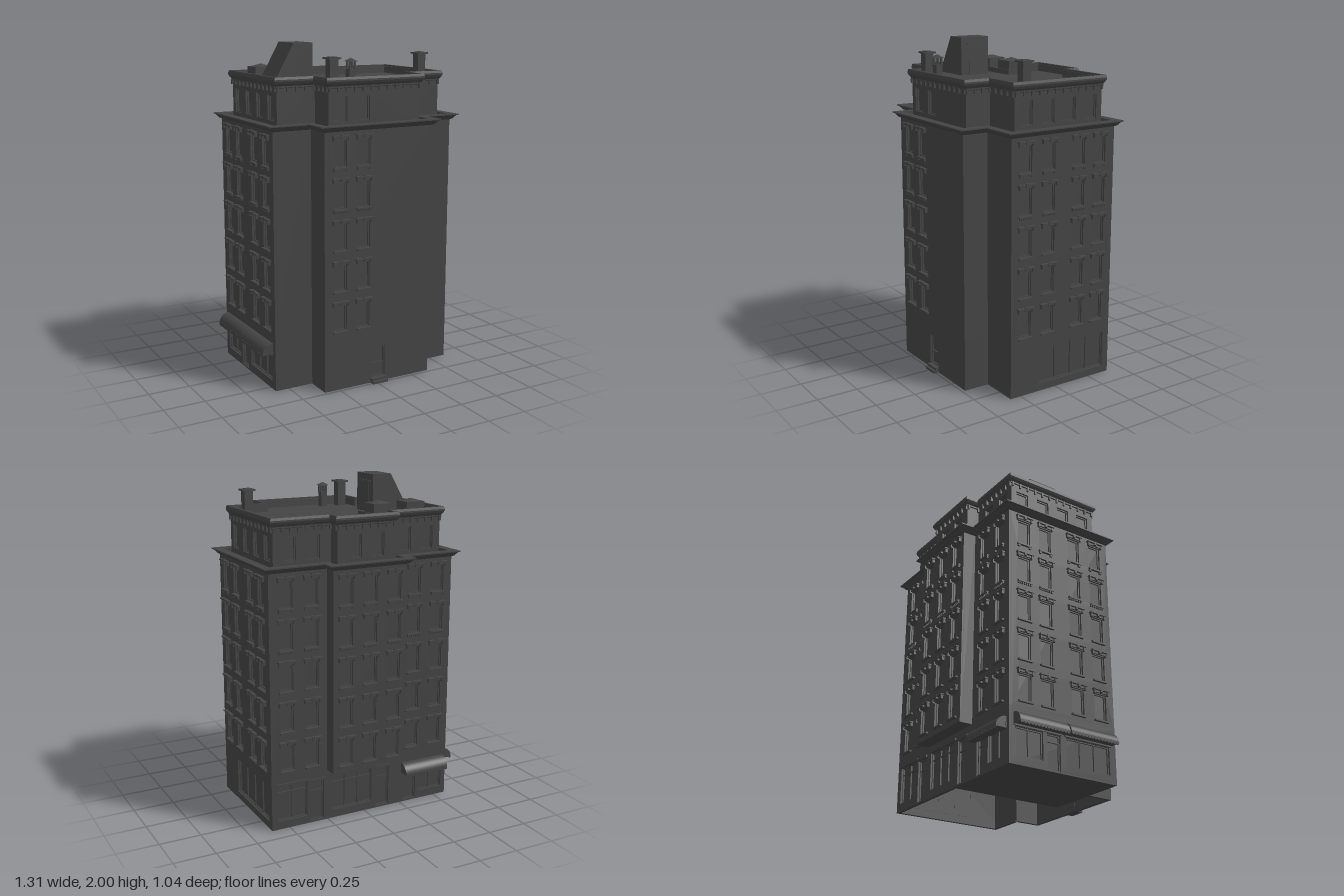
import * as THREE from 'three';
import { mergeGeometries } from 'three/addons/utils/BufferGeometryUtils.js';

const material = new THREE.MeshStandardMaterial({ color: 0x444444, side: THREE.DoubleSide });
const BACK = -0.48, FLAT = -0.399; // rear bay depth, and its depth on the ground floor
const FLOORS = 5, PITCH = 0.241;

// Cross-shaped floor plan as [x, z], grown outwards by o
function plan(o, back = BACK) {
  const f = 0.48 + o, m = 0.32 + o, k = FLAT - o, b = back - o;
  return [[-0.345 - o, f], [0.373 + o, f], [0.373 + o, m], [0.613 + o, m], [0.613 + o, k], [0.253 + o, k],
    [0.253 + o, b], [-0.225 - o, b], [-0.225 - o, k], [-0.585 - o, k], [-0.585 - o, m], [-0.345 - o, m]];
}

// Sweep a profile of [offset, y] round the plan
function sweep(profile, back) {
  const pos = [];
  for (let j = 0; j + 1 < profile.length; j++) {
    const [[o0, y0], [o1, y1]] = [profile[j], profile[j + 1]];
    const lo = plan(o0, back), hi = plan(o1, back);
    lo.forEach((a, i) => {
      const n = (i + 1) % lo.length, b = lo[n], c = hi[n], d = hi[i];
      const A = [a[0], y0, a[1]], B = [b[0], y0, b[1]], C = [c[0], y1, c[1]], D = [d[0], y1, d[1]];
      pos.push(...A, ...B, ...C, ...A, ...C, ...D);
    });
  }
  const g = new THREE.BufferGeometry();
  g.setAttribute('position', new THREE.Float32BufferAttribute(pos, 3));
  g.computeVertexNormals();
  return g;
}

// Upward-facing slab filling the plan
function deck(o, y) {
  const s = new THREE.Shape(plan(o).map(([x, z]) => new THREE.Vector2(x, -z)));
  return new THREE.ShapeGeometry(s).rotateX(-Math.PI / 2).translate(0, y, 0);
}

export function createModel() {
  const parts = {};
  const I = new THREE.Matrix4();
  function add(name, geo, matrix = I) {
    const g = geo.index ? geo.toNonIndexed() : geo;
    g.deleteAttribute('uv');
    (parts[name] ??= []).push(g.applyMatrix4(matrix));
  }
  const box = (name, M, x, y, z, w, h, d) => add(name, new THREE.BoxGeometry(w, h, d).translate(x, y, z), M);

  // Local frame of one wall: x along it, z outwards; at() turns a world coordinate into local x
  function face(i, o, back) {
    const P = plan(o, back), p = P[i], q = P[(i + 1) % P.length];
    const dx = q[0] - p[0], dz = q[1] - p[1];
    const M = new THREE.Matrix4().makeRotationY(Math.atan2(-dz, dx)).setPosition(p[0], 0, p[1]);
    const at = w => Math.abs(dx) > Math.abs(dz) ? (w - p[0]) * Math.sign(dx) : (w - p[1]) * Math.sign(dz);
    return { M, at, length: Math.hypot(dx, dz) };
  }

  // Wall panel with openings [centre, bottom, width, height]
  function wall(name, F, y0, y1, holes) {
    if (F.length < 0.001) return;
    const rect = (C, x, y, w, h) => new C([[x, y], [x + w, y], [x + w, y + h], [x, y + h]].map(p => new THREE.Vector2(...p)));
    const s = rect(THREE.Shape, 0, y0, F.length, y1 - y0);
    for (const [c, b, w, h] of holes) s.holes.push(rect(THREE.Path, c - w / 2, b, w, h));
    add(name, new THREE.ExtrudeGeometry(s, { depth: 0.02, bevelEnabled: false }).translate(0, 0, -0.02), F.M);
  }

  // Frame bars inside an opening, split into columns and at the given rail heights
  function frame(name, M, [c, b, w, h], cols, rails) {
    const z = -0.016, t = 0.006;
    for (let i = 0; i <= cols; i++) box(name, M, c + (i / cols - 0.5) * (w - t), b + h / 2, z, t, h, 0.01);
    for (const r of [0, ...rails, 1]) box(name, M, c, b + t / 2 + r * (h - t), z, w, t, 0.01);
  }

  // Upper floors: window columns per wall
  const columns = { 0: [-0.243, -0.09], 3: [0.225, 0.065, -0.145, -0.295], 4: [0.51, 0.35],
    6: [0.17, 0.0125, -0.145], 8: [-0.33, -0.49], 9: [0.225, 0.065, -0.145, -0.295] };
  for (let i = 0; i < 12; i++) {
    const F = face(i, 0), holes = [];
    for (const w of columns[i] ?? []) for (let n = 0; n < FLOORS; n++) {
      const x = F.at(w), y = 0.36 + n * PITCH, hole = [x, y, 0.085, 0.157], top = y + 0.157;
      holes.push(hole);
      frame('windowFrame', F.M, hole, 1, []);
      box('windowSill', F.M, x, y - 0.006, 0.006, 0.095, 0.01, 0.018);
      box('windowLintel', F.M, x, top + 0.012, 0.004, 0.09, 0.014, 0.01);
      box('windowLintel', F.M, x, top + 0.021, 0.01, 0.112, 0.008, 0.024);
      box('windowLintel', F.M, x, top + 0.018, 0.012, 0.014, 0.024, 0.018);
      for (const s of [-1, 1]) box('windowBracket', F.M, x + s * 0.047, top + 0.006, 0.008, 0.008, 0.022, 0.016);
      if (n === 3) for (let k = -3; k <= 3; k++) box('sillDentil', F.M, x + k * 0.014, y - 0.016, 0.005, 0.007, 0.01, 0.01);
      else if (n === 4) for (const s of [-1, 1]) box('sillDentil', F.M, x + s * 0.038, y - 0.017, 0.005, 0.014, 0.012, 0.012);
    }
    wall('upperWall', F, 0.32, 1.54, holes);
  }
  add('windowPane', sweep([[-0.02, 0.32], [-0.02, 1.54]]));

  // Ground floor openings: [centre, bottom, width, height, columns, rails]
  const shops = {
    0: [[0.015, 0.03, 0.095, 0.19, 1, [0.45]]],
    3: [[-0.118, 0.045, 0.475, 0.22, 4, []]],
    4: [[0.48, 0.05, 0.19, 0.22, 2, [0.8]], [0.32, 0.01, 0.09, 0.25, 1, [0.75]]],
    6: [[0.085, 0.05, 0.27, 0.22, 3, [0.8]], [-0.125, 0.01, 0.09, 0.25, 1, [0.75]]],
    8: [[-0.32, 0.01, 0.09, 0.2, 1, [0.8]], [-0.47, 0.05, 0.17, 0.16, 2, []]],
    9: [[-0.27, 0.05, 0.18, 0.16, 2, []], [-0.11, 0.01, 0.09, 0.2, 1, [0.8]], [0.125, 0.05, 0.3, 0.16, 3, []]],
  };
  for (let i = 0; i < 12; i++) {
    const F = face(i, 0, FLAT);
    const holes = (shops[i] ?? []).map(([w, ...rest]) => [F.at(w), ...rest]);
    wall('groundWall', F, 0, 0.32, holes);
    for (const h of holes) {
      frame('shopFrame', F.M, h, h[4], h[5]);
      if (i > 3) box('shopHeader', F.M, h[0], h[1] + h[3] + 0.008, 0.002, h[2] + 0.02, 0.014, 0.012);
    }
    if (i === 0) for (const [h, d] of [[0.015, 0.035], [0.03, 0.02]]) box('doorStep', F.M, F.at(0.015), h / 2, d / 2, 0.1, h, d);
  }
  add('shopPane', sweep([[-0.02, 0], [-0.02, 0.32]], FLAT));
  // Shop floor under one half; the other half is open below
  box('shopFloor', I, -0.3125, 0.004, -0.04, 0.545, 0.008, 0.718);
  box('shopCornice', I, 0.014, 0.322, -0.44, 0.478, 0.012, 0.084);

  // Rounded shop awnings with a scalloped hem: wall, ends, top height, reach
  for (const [i, a, b, top, reach] of [[8, -0.56, -0.26, 0.262, 0.066], [9, -0.37, -0.045, 0.285, 0.064], [9, -0.04, 0.29, 0.285, 0.07]]) {
    const F = face(i, 0, FLAT), u = Math.min(F.at(a), F.at(b)), len = Math.abs(b - a), s = new THREE.Shape();
    s.moveTo(0, top - 0.065);
    s.lineTo(0, top);
    s.absellipse(0, top - 0.065, reach, 0.065, Math.PI / 2, 0, true);
    // shape x points out of the wall, extrusion runs along it
    add('awning', new THREE.ExtrudeGeometry(s, { depth: len, bevelEnabled: false, curveSegments: 8 })
      .rotateY(-Math.PI / 2).translate(u + len, 0, 0), F.M);
    const n = Math.round(len / 0.022);
    for (let k = 0; k < n; k++) {
      add('awningHem', new THREE.CylinderGeometry(len / n / 2, len / n / 2, 0.005, 8)
        .rotateX(Math.PI / 2).translate(u + (k + 0.5) * len / n, top - 0.066, reach - 0.0025), F.M);
    }
  }

  // Main cornice with its gutter and terrace
  add('mainCornice', sweep([[0, 1.526], [0.012, 1.532], [0.02, 1.542], [0.028, 1.552], [0.038, 1.555], [0.038, 1.562],
    [-0.015, 1.562], [-0.015, 1.53], [-0.08, 1.53]]));

  // Set-back top storey
  const topColumns = { 0: [-0.21, -0.063], 3: [0.185, 0.035, -0.115, -0.265], 4: [0.46, 0.31],
    6: [0.085, -0.06], 8: [-0.29, -0.44], 9: [0.185, 0.035, -0.115, -0.265] };
  for (let i = 0; i < 12; i++) {
    const F = face(i, -0.055);
    const holes = (topColumns[i] ?? []).map(w => [F.at(w), 1.575, 0.085, 0.14]);
    wall('topStoreyWall', F, 1.53, 1.77, holes);
    for (const h of holes) frame('topWindowFrame', F.M, h, 1, []);
    const n = Math.max(1, Math.round(F.length / 0.055));
    for (let k = 0; k <= n; k++) box('eavesBracket', F.M, 0.006 + k * (F.length - 0.012) / n, 1.755, 0.006, 0.01, 0.03, 0.012);
  }
  add('topStoreyPane', sweep([[-0.075, 1.53], [-0.075, 1.77]]));
  add('parapet', sweep([[-0.055, 1.76], [-0.049, 1.763], [-0.049, 1.772], [-0.04, 1.785], [-0.034, 1.798],
    [-0.034, 1.808], [-0.038, 1.822], [-0.055, 1.822], [-0.055, 1.812], [-0.06, 1.812], [-0.06, 1.77]]));
  add('roof', deck(-0.055, 1.77));

  // Stair bulkhead with a sloping back and a door
  const side = new THREE.Shape([[-0.478, 1.77], [-0.225, 1.77], [-0.225, 2], [-0.348, 2]].map(p => new THREE.Vector2(...p)));
  add('stairBulkhead', new THREE.ExtrudeGeometry(side, { depth: 0.195, bevelEnabled: false }).translate(0, 0, -0.077));
  box('bulkheadDoor', I, -0.224, 1.86, 0.015, 0.006, 0.18, 0.09);
  box('bulkheadHood', I, -0.22, 1.957, 0.015, 0.012, 0.008, 0.13);

  // Cooling units on a curbed platform
  box('coolerPlatform', I, -0.29, 1.78, -0.22, 0.39, 0.02, 0.15);
  for (const s of [-1, 1]) {
    box('platformCurb', I, -0.29, 1.785, -0.22 + s * 0.077, 0.4, 0.03, 0.008);
    box('platformCurb', I, -0.29 + s * 0.196, 1.785, -0.22, 0.008, 0.03, 0.16);
  }
  for (const x of [-0.4, -0.178]) {
    box('coolerUnit', I, x, 1.82, -0.22, 0.122, 0.06, 0.118);
    add('coolerFan', new THREE.CylinderGeometry(0.026, 0.055, 0.01, 20).translate(x, 1.855, -0.22));
    add('coolerFan', new THREE.CylinderGeometry(0.008, 0.022, 0.005, 16).translate(x, 1.8625, -0.22));
  }

  // Chimneys
  for (const [x, z] of [[0.494, 0.155], [-0.228, 0.355]]) {
    box('chimney', I, x, 1.845, z, 0.054, 0.15, 0.054);
    box('chimneyCap', I, x, 1.923, z, 0.077, 0.01, 0.077);
    box('chimneyPot', I, x, 1.929, z, 0.04, 0.006, 0.04);
  }

  // Small vent with an open lantern top
  box('ventStack', I, -0.106, 1.815, 0.355, 0.042, 0.09, 0.042);
  for (const sx of [-1, 1]) for (const sz of [-1, 1]) box('ventPost', I, -0.106 + sx * 0.016, 1.88, 0.355 + sz * 0.016, 0.01, 0.05, 0.01);
  add('ventCap', new THREE.ConeGeometry(0.042, 0.02, 4).toNonIndexed().rotateY(Math.PI / 4).translate(-0.106, 1.912, 0.355));

  const group = new THREE.Group();
  group.name = 'cornerBuilding';
  for (const [name, geos] of Object.entries(parts)) {
    const mesh = new THREE.Mesh(mergeGeometries(geos), material);
    mesh.name = name;
    group.add(mesh);
  }
  return group;
}
